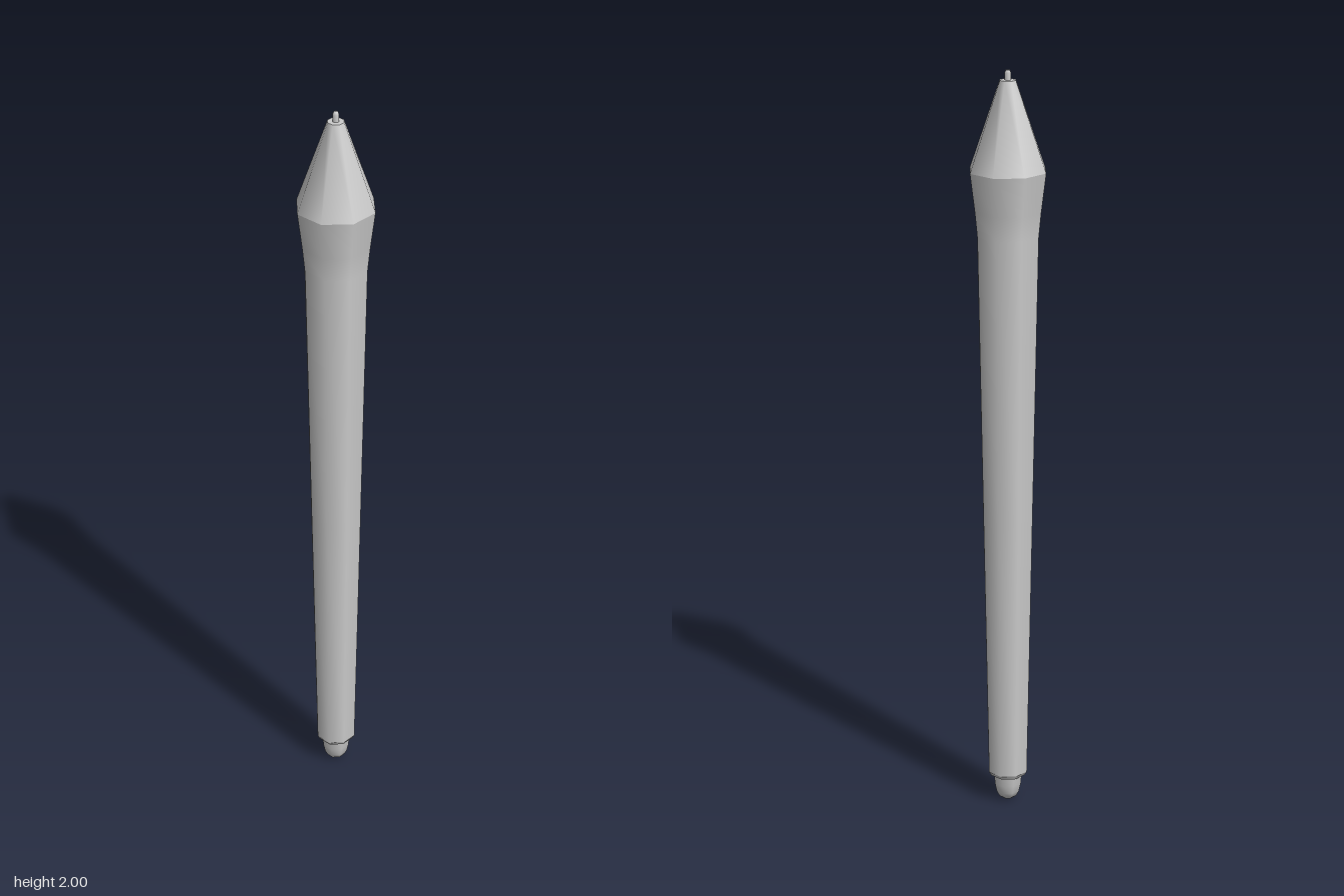
import * as THREE from 'three';

const SIDES = 8;
const material = new THREE.MeshStandardMaterial({ color: 0xcccccc });

// Octagonal turned part with flats facing the axes; profile is [half width across flats, y], bottom to top
function turned(name, profile) {
  const points = profile.map(([r, y]) => new THREE.Vector2(r / Math.cos(Math.PI / SIDES), y));
  const mesh = new THREE.Mesh(new THREE.LatheGeometry(points, SIDES, Math.PI / SIDES), material);
  mesh.name = name;
  return mesh;
}

export function createModel() {
  const pen = new THREE.Group();
  pen.name = 'stylusPen';
  pen.add(
    // Rounded button at the tail
    turned('tailButton', [[0, 0], [0.013, 0.003], [0.023, 0.011], [0.03, 0.026], [0.035, 0.05], [0.038, 0.085]]),
    // Bevelled rim around the button
    turned('tailRim', [[0.034, 0.077], [0.045, 0.077]]),
    turned('tailBevel', [[0.045, 0.077], [0.051, 0.088]]),
    // Long tapering barrel flaring into the grip
    turned('barrel', [[0.051, 0.088], [0.064, 0.83], [0.077, 1.58], [0.083, 1.645], [0.095, 1.747]]),
    // Nose cone with its flat end
    turned('noseCone', [[0.095, 1.747], [0.02, 1.975]]),
    turned('noseEnd', [[0.02, 1.975], [0, 1.975]]),
    // Writing nib
    turned('nib', [[0.008, 1.97], [0.008, 1.993], [0.005, 2], [0, 2]])
  );
  return pen;
}
